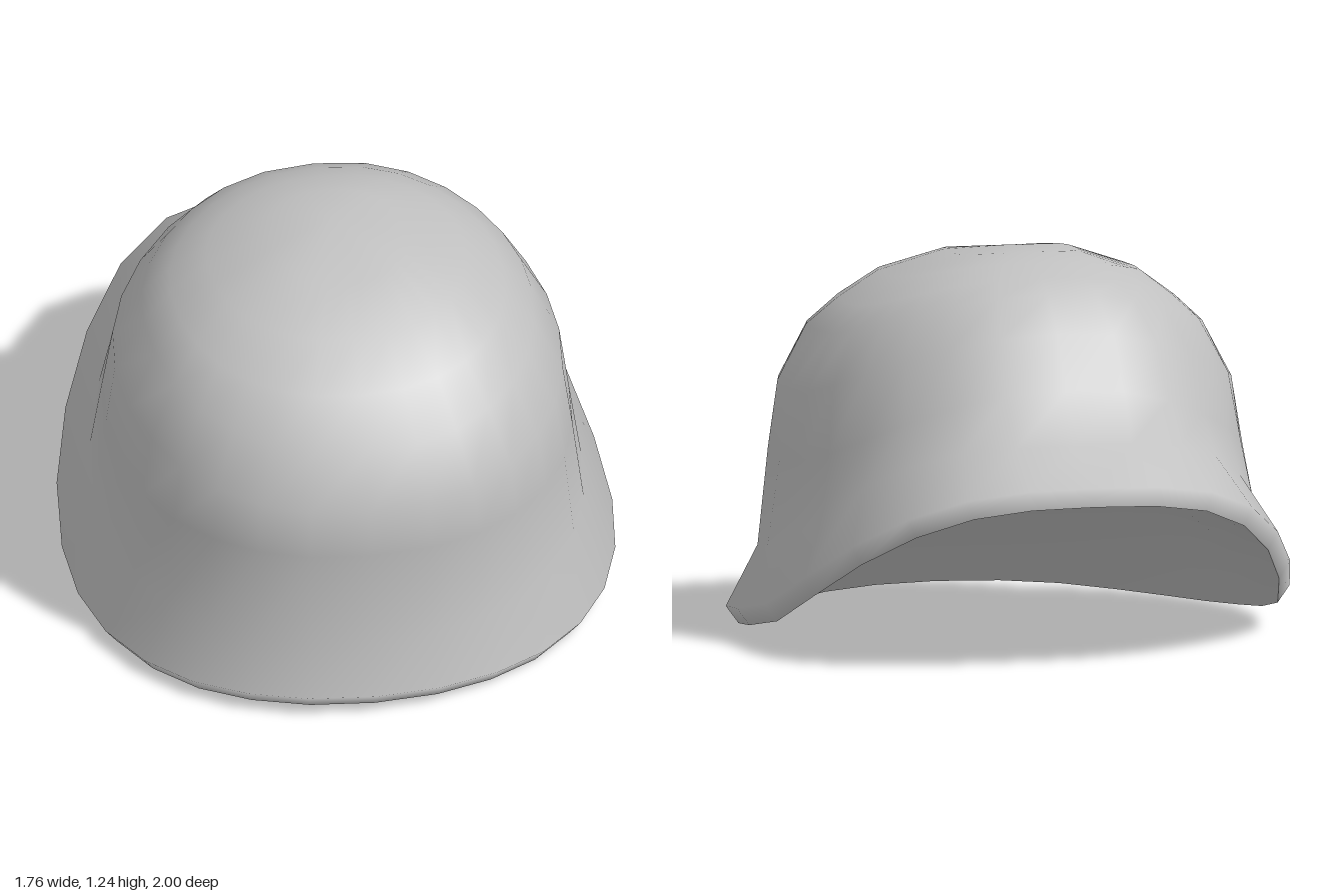
import * as THREE from 'three';

const COLS = 28;

// Height of the lower rim edge along the depth of the helmet: [z, y]
const RIM = [[-1, 0.53], [-0.3, 0.135], [-0.2, 0.09], [0, 0.045], [0.3, 0.013], [0.5, 0], [0.75, 0], [1, 0.028]];
function rimHeight(z) {
  for (let i = 1; i < RIM.length; i++) {
    const [z0, y0] = RIM[i - 1], [z1, y1] = RIM[i];
    if (z <= z1 || i === RIM.length - 1) return y0 + (y1 - y0) * Math.max(0, z - z0) / (z1 - z0);
  }
}

// Rings from rim to crown: plan reach at front, side and back, centre z,
// then heights at front, side and back (from the sloping rim where onRim is set)
const RINGS = [
  { plan: [0.96, 0.84, -1.0], c: 0.1, y: [0, 0, 0], onRim: true },
  { plan: [1.0, 0.88, -1.0], c: 0.1, y: [0.055, 0.055, 0.06], onRim: true },
  { plan: [0.9, 0.78, -0.75], c: 0.1, y: [0.19, 0.255, 0.16], onRim: true },
  { plan: [0.9, 0.74, -0.645], c: 0.1, y: [0.57, 0.57, 0.855] },
  { plan: [0.87, 0.71, -0.54], c: 0.1, y: [0.72, 0.79, 1.02] },
  { plan: [0.78, 0.62, -0.42], c: 0.1, y: [0.89, 0.97, 1.13] },
  { plan: [0.65, 0.53, -0.34], c: 0.08, y: [1.02, 1.055, 1.175] },
  { plan: [0.49, 0.41, -0.25], c: 0.06, y: [1.12, 1.145, 1.21] },
  { plan: [0.3, 0.21, -0.15], c: 0.03, y: [1.19, 1.215, 1.23] },
];

// One closed, slightly squared oval; the brim is blunter at the back
function ringPoints(ring) {
  const [f, s, b] = ring.plan, [yf, ys, yb] = ring.y;
  const p = 2 / (ring.onRim ? 2.12 : 2.25);
  const points = [];
  for (let j = 0; j < COLS; j++) {
    const a = (j / COLS) * Math.PI * 2;
    const sn = Math.sin(a), cs = Math.cos(a), front = cs > 0;
    const blunt = ring.onRim && !front ? 1 + 0.35 * sn ** 2 * cs ** 4 : 1;
    const dx = Math.sign(sn) * Math.abs(sn) ** p;
    const dz = Math.sign(cs) * Math.abs(cs) ** p * blunt;
    // the rim slope follows the outermost outline so all rim rings stay aligned
    const rimZ = 0.1 + dz * (front ? 0.9 : 1.1);
    const y = ys + ((front ? yf : yb) - ys) * cs * cs;
    points.push([
      dx * s,
      y + (ring.onRim ? rimHeight(rimZ) : 0),
      ring.c + dz * (front ? f - ring.c : ring.c - b),
    ]);
  }
  return points;
}

// Skin a stack of rings and close it at the apex
function skin(rings, [ax, ay, az], inward) {
  const index = [];
  const tri = (a, b, c) => index.push(...(inward ? [a, c, b] : [a, b, c]));
  const apex = rings.length * COLS;
  rings.forEach((_, i) => {
    for (let j = 0; j < COLS; j++) {
      const k = (j + 1) % COLS;
      const a = i * COLS + j, b = i * COLS + k;
      if (i === rings.length - 1) tri(a, b, apex);
      else {
        tri(a, b, b + COLS);
        tri(a, b + COLS, a + COLS);
      }
    }
  });
  const geometry = new THREE.BufferGeometry();
  const positions = [...rings.flat(2), ax, ay, az];
  geometry.setAttribute('position', new THREE.Float32BufferAttribute(positions, 3));
  geometry.setIndex(index);
  geometry.computeVertexNormals();
  return geometry;
}

export function createModel() {
  const grey = new THREE.MeshStandardMaterial({ color: 0xc0c0c0 });
  grey.name = 'grey';
  const group = new THREE.Group();
  group.name = 'helmet';

  // Outer shell with flared brim
  const shell = new THREE.Mesh(skin(RINGS.map(ringPoints), [0, 1.235, 0], false), grey);
  shell.name = 'shell';

  // Shallow bowl underneath, rising smoothly from the lower rim
  const bowlTop = 0.6;
  const rim = ringPoints(RINGS[0]);
  const bowlRings = [1, 0.9, 0.77, 0.62, 0.42, 0.2].map((t) =>
    rim.map(([x, y, z]) => [x * t, bowlTop + (y - bowlTop) * t * t, z * t]));
  const bowl = new THREE.Mesh(skin(bowlRings, [0, bowlTop, 0], true), grey);
  bowl.name = 'innerBowl';

  group.add(shell, bowl);
  return group;
}
